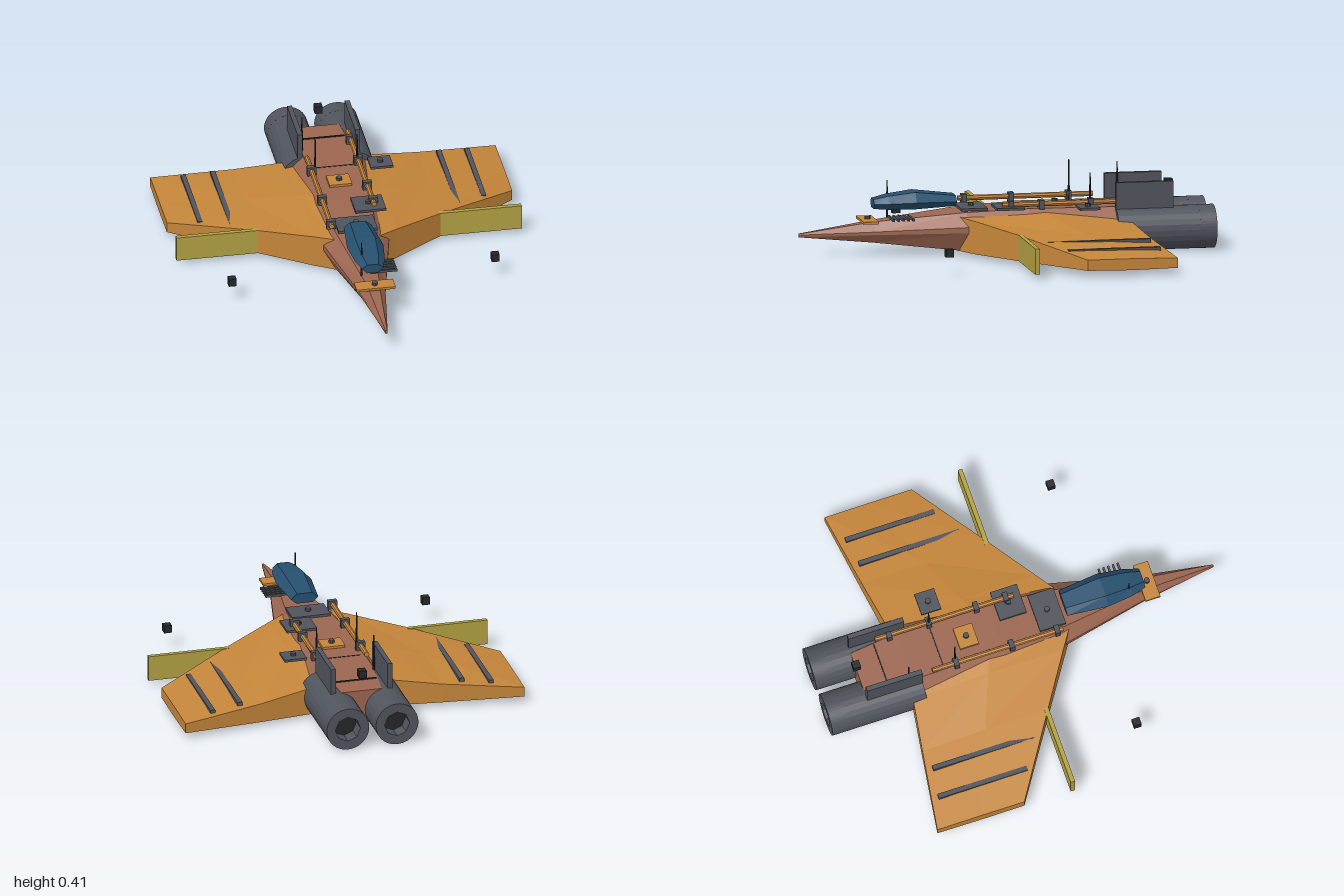
import * as THREE from 'three';

const mat = (name, color, side = THREE.FrontSide) =>
  Object.assign(new THREE.MeshStandardMaterial({ color, flatShading: true, side }), { name });

// Skin a row of cross-sections (arrays of [x, y, z]) and cap both ends.
function loft(sections) {
  const tris = [];
  const n = sections[0].length;
  for (let s = 0; s < sections.length - 1; s++) {
    const a = sections[s], b = sections[s + 1];
    for (let i = 0; i < n; i++) {
      const j = (i + 1) % n;
      tris.push([a[i], a[j], b[j]], [a[i], b[j], b[i]]);
    }
  }
  const first = sections[0], last = sections[sections.length - 1];
  for (let i = 1; i < n - 1; i++) {
    tris.push([first[0], first[i + 1], first[i]], [last[0], last[i], last[i + 1]]);
  }
  // Turn the faces outward whichever way the sections run.
  const v = (p) => new THREE.Vector3(...p);
  const volume = tris.reduce((sum, [p, q, r]) => sum + v(p).dot(v(q).cross(v(r))), 0);
  const pts = tris.flatMap(([p, q, r]) => (volume < 0 ? [p, r, q] : [p, q, r])).flat();
  const g = new THREE.BufferGeometry();
  g.setAttribute('position', new THREE.Float32BufferAttribute(pts, 3));
  g.computeVertexNormals();
  return g;
}

export function createModel() {
  const rust = mat('rust hull', 0x9c6650);
  const orange = mat('orange panel', 0xc4853a);
  const yellow = mat('mustard canard', 0xb2a042);
  const grey = mat('gunmetal', 0x50545c);
  const blue = mat('canopy blue', 0x26506f);
  const black = mat('black', 0x26272a);

  const model = new THREE.Group();
  const add = (name, geometry, material, x = 0, y = 0, z = 0) => {
    const m = new THREE.Mesh(geometry, material);
    m.name = name;
    m.position.set(x, y, z);
    model.add(m);
    return m;
  };
  const box = (name, material, w, h, d, x, y, z) =>
    add(name, new THREE.BoxGeometry(w, h, d), material, x, y, z);

  // Fuselage: [z, half width, waist y, top half width, top y, bottom half width, bottom y]
  const hull = [
    [1, 0.006, 0.115, 0.004, 0.122, 0.004, 0.105],
    [0.64, 0.062, 0.12, 0.03, 0.172, 0.035, 0.072],
    [0.2, 0.16, 0.14, 0.1, 0.214, 0.11, 0.028],
    [-0.1, 0.178, 0.15, 0.12, 0.226, 0.125, 0.014],
    [-0.56, 0.185, 0.15, 0.125, 0.222, 0.125, 0.012],
    [-0.8, 0.125, 0.14, 0.1, 0.217, 0.09, 0.05],
  ];
  add('fuselage', loft(hull.map(([z, w, y, tw, ty, bw, by]) => [
    [-bw, by, z], [bw, by, z], [w, y - 0.15 * (y - by), z], [w, y + 0.15 * (ty - y), z],
    [tw, ty, z], [-tw, ty, z], [-w, y + 0.15 * (ty - y), z], [-w, y - 0.15 * (y - by), z],
  ])), rust);

  // Canopy: [z, half width, bottom y, waist y, top y]
  const glass = [
    [0.64, 0.05, 0.235, 0.26, 0.28],
    [0.57, 0.072, 0.23, 0.262, 0.295],
    [0.44, 0.088, 0.23, 0.266, 0.311],
    [0.24, 0.068, 0.238, 0.262, 0.288],
  ];
  add('canopy', loft(glass.map(([z, w, by, y, ty]) => [
    [-w * 0.6, by, z], [w * 0.6, by, z], [w, y, z],
    [w * 0.55, ty, z], [-w * 0.55, ty, z], [-w, y, z],
  ])), blue);

  // Wing: [x, leading z, trailing z, leading top, middle top, trailing top, bottom]
  const wing = [
    [0.1, 0.24, -0.57, 0.195, 0.215, 0.18, 0.03],
    [0.2, 0.174, -0.585, 0.185, 0.195, 0.16, 0.026],
    [0.45, 0.012, -0.623, 0.154, 0.146, 0.125, 0.03],
    [0.84, -0.24, -0.68, 0.092, 0.092, 0.088, 0.04],
  ];
  // Nozzle face: round outside, faceted hole
  const nozzle = new THREE.Shape().absarc(0, 0, 0.105, 0, Math.PI * 2);
  const hole = new THREE.Path();
  for (let i = 0; i < 8; i++) {
    const a = (-i * Math.PI) / 4;
    hole[i ? 'lineTo' : 'moveTo'](0.062 * Math.cos(a), 0.062 * Math.sin(a));
  }
  hole.closePath();
  nozzle.holes.push(hole);

  for (const [side, s] of [['left', 1], ['right', -1]]) {
    add(side + 'Wing', loft(wing.map(([x, lz, tz, lt, mt, tt, b]) => {
      const mz = (lz + tz) / 2;
      return [[s * x, b, lz], [s * x, lt, lz], [s * x, mt, mz],
        [s * x, tt, tz], [s * x, b, tz], [s * x, b - 0.004, mz]];
    })), orange);
    box(side + 'Canard', yellow, 0.44, 0.125, 0.022, s * 0.62, 0.0925, 0.005);

    // Raised strips lying on the wing
    for (const [x, y, z, len] of [[0.55, 0.128, -0.35, 0.51], [0.69, 0.111, -0.4, 0.45]]) {
      box(side + 'WingStrip', grey, 0.024, 0.018, len, s * x, y, z);
    }

    // Engine barrel, nozzle ring and dark throat
    add(side + 'Engine', new THREE.CylinderGeometry(0.105, 0.105, 0.4, 24).rotateX(Math.PI / 2),
      grey, s * 0.122, 0.113, -0.72);
    add(side + 'Nozzle', new THREE.ExtrudeGeometry(nozzle,
      { depth: 0.08, bevelEnabled: false, curveSegments: 24 }), grey, s * 0.122, 0.113, -1);
    add(side + 'Throat', new THREE.CylinderGeometry(0.066, 0.066, 0.005, 8).rotateX(Math.PI / 2),
      black, s * 0.122, 0.113, -0.923);

    box(side + 'TailFin', grey, 0.024, 0.13, 0.28, s * 0.14, 0.277, -0.66);
    box(side + 'WingSensor', black, 0.038, 0.038, 0.038, s * 0.64, 0.115, 0.395);
  }
  box('tailSensor', black, 0.038, 0.038, 0.038, 0, 0.31, -0.805);

  // Deck plates, each with a small round cap: [material, width, depth, x, y, z]
  const plates = [
    [orange, 0.19, 0.075, 0.005, 0.178, 0.665],
    [grey, 0.19, 0.13, 0.005, 0.226, 0.16],
    [grey, 0.15, 0.135, 0.097, 0.234, -0.003],
    [grey, 0.11, 0.1, 0.222, 0.24, -0.368],
    [orange, 0.11, 0.095, 0, 0.231, -0.25],
  ];
  for (const [m, w, d, x, y, z] of plates) {
    box('deckPlate', m, w, 0.012, d, x, y, z);
    add('plateCap', new THREE.CylinderGeometry(0.014, 0.014, 0.016, 10), grey, x, y + 0.012, z);
  }

  // Cooling bars beside the canopy
  for (let i = 0; i < 5; i++) {
    box('coolingBar', grey, 0.13, 0.012, 0.01, 0.068, 0.192, 0.465 + i * 0.024);
  }

  // Pipes along the back with clamps: [x, front z, rear z, clamp positions]
  const pipes = [
    [-0.118, 0.2, -0.46, [0.17, -0.06, -0.34]],
    [0.12, 0.03, -0.67, [-0.01, -0.16, -0.4, -0.6]],
  ];
  for (const [x, front, rear, clamps] of pipes) {
    add('pipe', new THREE.CylinderGeometry(0.013, 0.013, front - rear, 8).rotateX(Math.PI / 2),
      orange, x, 0.248, (front + rear) / 2);
    for (const z of clamps) box('pipeClamp', grey, 0.044, 0.044, 0.025, x, 0.246, z);
  }

  // Panel seams across the rear deck
  for (const z of [-0.4, -0.68]) box('deckSeam', black, 0.21, 0.006, 0.006, 0, 0.222, z);

  // Aerials: [x, z, base y, tip y]
  for (const [x, z, base, tip] of [
    [-0.1, -0.34, 0.22, 0.42], [-0.04, 0.56, 0.17, 0.36],
    [0.115, -0.4, 0.22, 0.39], [-0.12, -0.58, 0.21, 0.4],
  ]) {
    add('aerial', new THREE.CylinderGeometry(0.003, 0.006, tip - base, 6), black, x, (base + tip) / 2, z);
  }
  return model;
}
